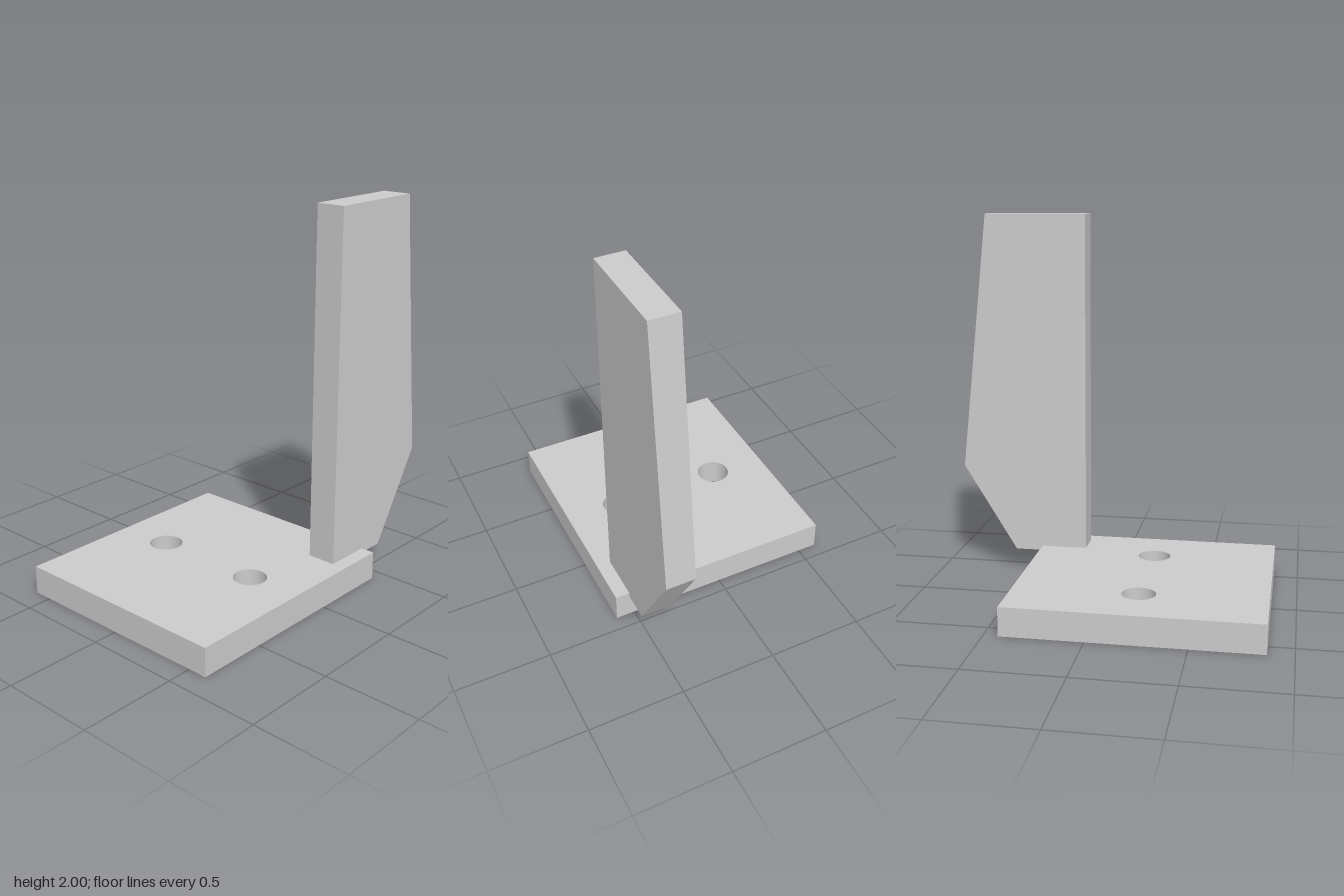
import * as THREE from 'three';

const material = new THREE.MeshStandardMaterial({ color: 0xcccccc, flatShading: false });

function extrude(name, shape, depth) {
  const geometry = new THREE.ExtrudeGeometry(shape, { depth, bevelEnabled: false, curveSegments: 32 });
  const mesh = new THREE.Mesh(geometry, material);
  mesh.name = name;
  return mesh;
}

const polygon = (points) => new THREE.Shape(points.map(([x, y]) => new THREE.Vector2(x, y)));

export function createModel() {
  const model = new THREE.Group();
  model.name = 'bracket';

  // Base plate with two through holes, drawn with -z as the shape's y
  const plateShape = polygon([[-0.6, -0.87], [0.6, -0.87], [0.6, 0.425], [-0.6, 0.425]]);
  for (const x of [-0.3, 0.3]) {
    plateShape.holes.push(new THREE.Path().absarc(x, -0.222, 0.087, 0, Math.PI * 2, true));
  }
  const plate = extrude('basePlate', plateShape, 0.15);
  plate.geometry.rotateX(-Math.PI / 2);
  model.add(plate);

  // Upright fin, stepped over the plate's back edge, drawn with -z as the shape's x
  const fin = extrude('uprightFin', polygon([
    [0.175, 0.15], [0.425, 0.15], [0.425, 0.125], [0.575, 0.125],
    [0.87, 0.6], [0.725, 2], [0.175, 2],
  ]), 0.155);
  fin.geometry.rotateY(Math.PI / 2).translate(0.37, 0, 0);
  model.add(fin);

  return model;
}
